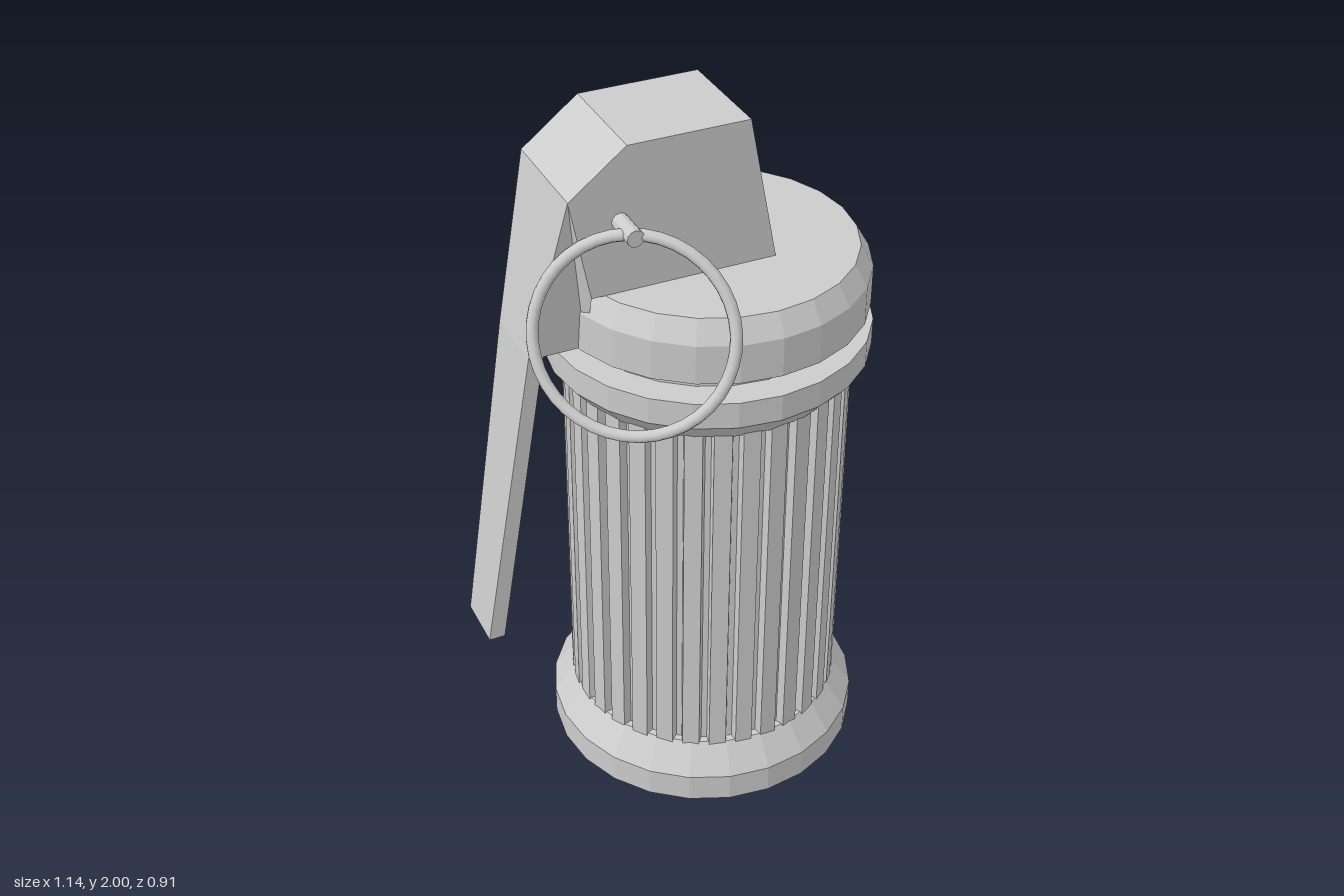
import * as THREE from 'three';

const AXIS_X = 0.12, AXIS_Z = -0.01;
const material = new THREE.MeshStandardMaterial({ color: 0xcccccc, flatShading: true });
const smooth = new THREE.MeshStandardMaterial({ color: 0xcccccc });

function addMesh(group, name, geometry, mat = material) {
  const mesh = new THREE.Mesh(geometry, mat);
  mesh.name = name;
  group.add(mesh);
  return mesh;
}

// Closed turned part; points are [radius, y] from bottom to top
function turned(group, name, points, x = AXIS_X) {
  const geometry = new THREE.LatheGeometry(points.map(p => new THREE.Vector2(...p)), 24);
  addMesh(group, name, geometry).position.set(x, 0, AXIS_Z);
}

// Side profile extruded across z, with a half width that varies by height
function tapered(profile, halfWidth) {
  const shape = new THREE.Shape(profile.map(p => new THREE.Vector2(...p)));
  const geometry = new THREE.ExtrudeGeometry(shape, { depth: 1, bevelEnabled: false });
  const pos = geometry.attributes.position;
  for (let i = 0; i < pos.count; i++) {
    const side = pos.getZ(i) > 0.5 ? 1 : -1;
    pos.setZ(i, side * halfWidth(pos.getY(i)) - 0.0125);
  }
  geometry.computeVertexNormals();
  return geometry;
}

// Fluted tube with flat ribs and narrow grooves
function flutedBody(ribs) {
  const points = [];
  const step = (Math.PI * 2) / ribs;
  for (let i = 0; i < ribs; i++) {
    for (const [t, r] of [[0, 0.39], [0.62, 0.39], [0.7, 0.366], [0.92, 0.366]]) {
      const a = (i + t) * step;
      points.push(new THREE.Vector2(Math.cos(a) * r, Math.sin(a) * r));
    }
  }
  const geometry = new THREE.ExtrudeGeometry(new THREE.Shape(points), { depth: 1.11, bevelEnabled: false });
  return geometry.rotateX(-Math.PI / 2);
}

export function createModel() {
  const group = new THREE.Group();
  group.name = 'canister';

  // Canister
  turned(group, 'base', [[0, 0], [0.447, 0], [0.447, 0.085], [0.388, 0.17], [0, 0.17]]);
  addMesh(group, 'flutedBody', flutedBody(32)).position.set(AXIS_X, 0.15, AXIS_Z);
  turned(group, 'collar', [[0, 1.24], [0.385, 1.24], [0.44, 1.305], [0.44, 1.38], [0, 1.38]]);
  turned(group, 'neck', [[0, 1.37], [0.36, 1.37], [0.36, 1.44], [0, 1.44]]);
  turned(group, 'lid', [[0, 1.43], [0.427, 1.43], [0.427, 1.54], [0.392, 1.6], [0, 1.6]], 0.125);

  // Fuse head, narrowing where it meets the lever
  addMesh(group, 'fuseHead', tapered(
    [[0.24, 1.6], [0.16, 2], [-0.17, 2], [-0.325, 1.88], [-0.425, 1.43], [-0.27, 1.43], [-0.27, 1.6]],
    y => (y < 1.5 ? 0.102 : 0.153)));

  // Safety lever
  addMesh(group, 'lever', tapered(
    [[-0.57, 0.53], [-0.525, 0.53], [-0.385, 1.43], [-0.425, 1.43]],
    y => 0.078 + (0.024 * (y - 0.53)) / 0.9));

  // Pin through the head
  const pin = addMesh(group, 'pin', new THREE.CylinderGeometry(0.023, 0.023, 0.47, 12));
  pin.rotation.x = Math.PI / 2;
  pin.position.set(-0.19, 1.8, 0);

  // Tilted pull ring hanging from the pin
  const ring = addMesh(group, 'pullRing', new THREE.TorusGeometry(0.252, 0.016, 10, 40), smooth);
  ring.position.set(-0.222, 1.562, 0.287);
  ring.quaternion.setFromUnitVectors(
    new THREE.Vector3(0, 0, 1), new THREE.Vector3(-0.52, 0.34, 0.79).normalize());

  return group;
}
